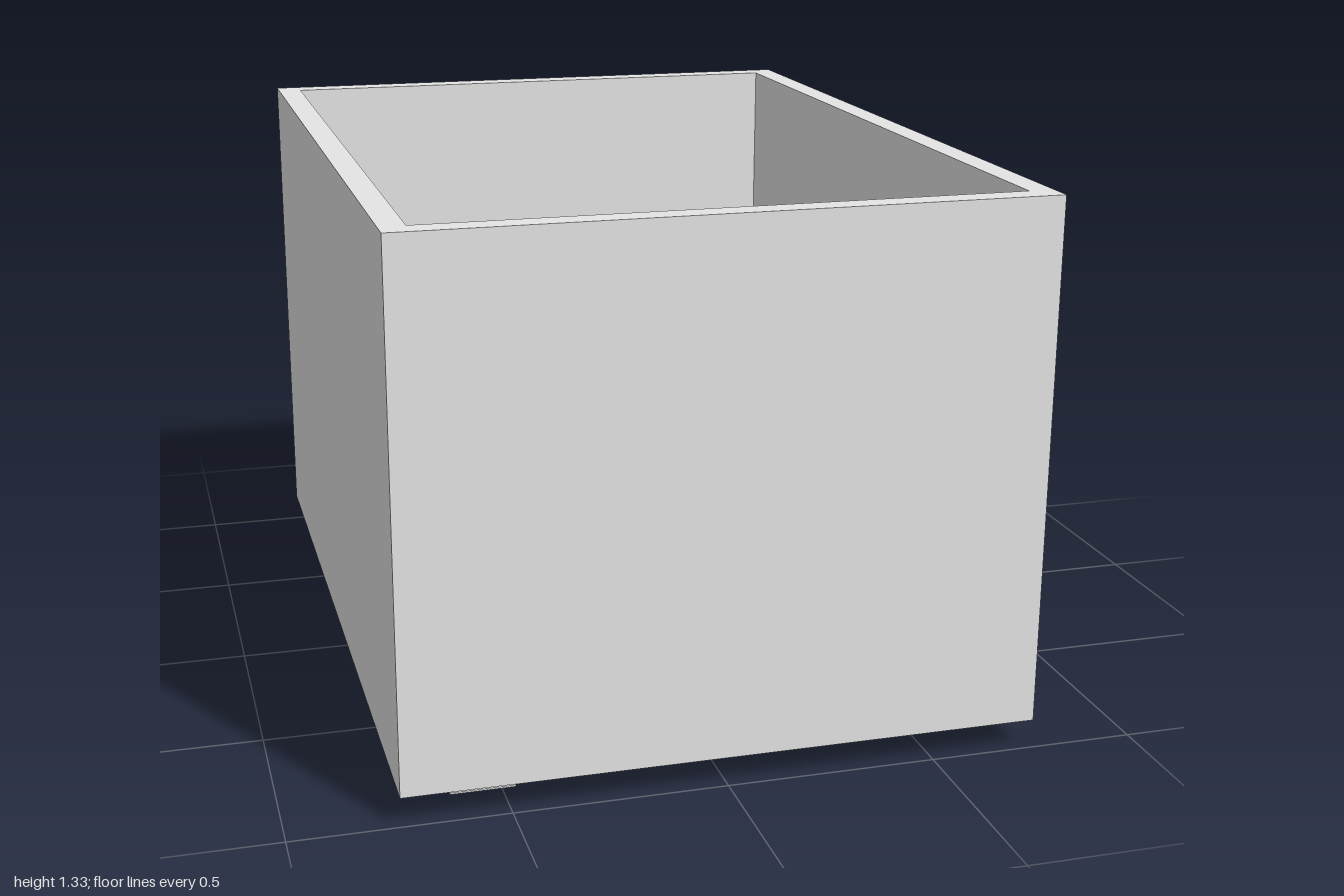
import * as THREE from 'three';

const FLOOR = 0.08, BASE = 0.07, TOP = 1.325;

export function createModel() {
  const model = new THREE.Group();
  const grey = new THREE.MeshStandardMaterial({ color: 0xe5e5e5 });
  grey.name = 'light grey';

  const add = (name, geometry, parent = model) => {
    const mesh = new THREE.Mesh(geometry, grey);
    mesh.name = name;
    parent.add(mesh);
    return mesh;
  };
  // Box given by its limits
  const box = (name, x0, x1, z0, z1, y0, y1) => {
    const m = add(name, new THREE.BoxGeometry(x1 - x0, y1 - y0, z1 - z0));
    m.position.set((x0 + x1) / 2, (y0 + y1) / 2, (z0 + z1) / 2);
    return m;
  };
  // Box standing at a height, given by its centre and size
  const block = (name, x, z, w, l, h, y = FLOOR) => box(name, x - w / 2, x + w / 2, z - l / 2, z + l / 2, y, y + h);
  const outline = (pts, Type) => new Type(pts.map(([x, z]) => new THREE.Vector2(x, -z)));
  // Corners run counter-clockwise seen from above, so holes are turned inwards
  const rect = (x0, x1, z0, z1) => [[x0, z1], [x1, z1], [x1, z0], [x0, z0]];
  // Horizontal slab with holes
  const slab = (name, pts, holes, y0, y1) => {
    const s = outline(pts, THREE.Shape);
    s.holes = holes.map((h) => outline([...h].reverse(), THREE.Path));
    const g = new THREE.ExtrudeGeometry(s, { depth: y1 - y0, bevelEnabled: false });
    g.rotateX(-Math.PI / 2);
    add(name, g).position.y = y0;
  };
  // Thin sloping plate from (zHigh, yHigh) down to (zLow, yLow)
  const ramp = (name, x0, x1, zHigh, yHigh, zLow, yLow) => {
    const dz = zLow - zHigh, dy = yLow - yHigh;
    const m = add(name, new THREE.BoxGeometry(x1 - x0, 0.004, Math.hypot(dz, dy)));
    m.position.set((x0 + x1) / 2, (yHigh + yLow) / 2, (zHigh + zLow) / 2);
    m.rotation.x = Math.atan(-dy / dz);
  };
  const flip = (s, z0, z1) => (s > 0 ? [z0, z1] : [-z1, -z0]);

  // Open-topped outer shell
  slab('outerWalls', rect(-0.75, 0.75, -1, 1), [rect(-0.69, 0.69, -0.94, 0.94)], BASE, TOP);

  // Floor with trench and stair openings
  const holes = [1, -1].flatMap((s) => [
    rect(-0.627, -0.484, ...flip(s, 0.06, 0.936)),
    rect(0.07, 0.115, ...flip(s, 0.06, 0.168)),
  ]);
  slab('floor', rect(-0.69, 0.69, -0.94, 0.94), holes, BASE, FLOOR);

  // Side trench, open at both ends
  box('trenchFloor', -0.63, -0.48, -0.94, 0.94, 0.032, 0.036);
  for (const x of [-0.63, -0.484]) box('trenchWall', x, x + 0.004, -0.94, 0.94, 0.032, BASE);

  // Sunken passage below the centre
  const half = [[-0.38, -0.07], [0.065, -0.07], [0.065, -0.17], [0.12, -0.17], [0.12, -0.065],
    [0.19, -0.065], [0.19, -0.03], [0.298, -0.03]];
  const passage = [...half, ...half.map(([x, z]) => [x, -z]).reverse()];
  slab('passageFloor', passage, [], 0, 0.004);
  passage.forEach(([x, z], i) => {
    const [x2, z2] = passage[(i + 1) % passage.length];
    const t = 0.002;
    box('passageWall', Math.min(x, x2) - t, Math.max(x, x2) + t,
      Math.min(z, z2) - t, Math.max(z, z2) + t, 0, BASE);
  });

  // Hollow block with parapet and optional roof opening
  const building = (name, x0, x1, z0, z1, h, opening) => {
    const t = 0.004;
    const inner = rect(x0 + t, x1 - t, z0 + t, z1 - t);
    slab(name + 'Walls', rect(x0, x1, z0, z1), [inner], FLOOR, FLOOR + h + 0.015);
    slab(name + 'Roof', inner, opening ? [rect(...opening)] : [], FLOOR + h - 0.008, FLOOR + h);
  };

  // Crate pairs (a tall and a short crate side by side): x, z, turn
  const upright = Math.PI / 2;
  const cratePairs = [[-0.29, 0.67, 0], [0.085, 0.643, 0.1], [0.2, 0.67, 0], [0.34, 0.668, 0.1],
    [-0.1, 0.446, upright], [-0.1, 0.33, upright], [0.015, 0.39, 0.35], [0.095, 0.226, upright]];
  // Single crates: x, z, width, length, height
  const crates = [[0.465, 0.715, 0.028, 0.06, 0.03], [-0.2, 0.215, 0.03, 0.026, 0.025],
    [-0.448, 0.697, 0.03, 0.014, 0.02], [0.46, 0.41, 0.044, 0.06, 0.05],
    [0.413, 0.535, 0.044, 0.06, 0.04], [0.413, 0.315, 0.044, 0.06, 0.04]];
  // Short posts: x, z
  const posts = [[-0.15, 0.165], [-0.46, 0.105], [-0.66, 0.51], [0.405, 0.385], [0.475, 0.515]];

  for (const s of [1, -1]) {
    const z = (a, b) => flip(s, a, b);
    // Stairs, and trench ramps with their landings
    ramp('passageRamp', 0.07, 0.115, 0.168 * s, FLOOR, 0.06 * s, 0.006);
    for (const [x0, x1, low, high, end] of [[-0.525, -0.484, 0.66, 0.72, 0.75], [-0.627, -0.588, 0.228, 0.286, 0.312]]) {
      ramp('trenchRamp', x0, x1, high * s, FLOOR - 0.002, low * s, 0.036);
      box('trenchLanding', x0, x1, ...z(high, end), BASE, FLOOR);
    }
    box('trenchCrate', -0.592, -0.535, ...z(0.325, 0.45), 0.036, 0.052);
    box('trenchCrateTop', -0.59, -0.562, ...z(0.365, 0.412), 0.052, 0.066);

    // End bases
    box('endBase', -0.42, 0.388, ...z(0.725, 0.94), FLOOR, 0.2);
    box('endBaseTop', -0.158, 0.156, ...z(0.75, 0.905), 0.2, 0.22);
    for (const [x, d] of [[-0.345, 0.892], [0.28, 0.904]]) block('endBasePost', x, d * s, 0.012, 0.008, 0.02, 0.2);

    // Blocks and the bridge between them
    building('innerBlock', -0.422, -0.175, ...z(0.255, 0.592), 0.12, [-0.332, -0.305, ...z(0.345, 0.415)]);
    ramp('innerBlockRamp', -0.332, -0.305, 0.415 * s, 0.2, 0.345 * s, 0.15);
    building('outerBlock', 0.173, 0.388, ...z(0.285, 0.592), 0.12, [0.333, 0.357, ...z(0.47, 0.542)]);
    ramp('outerBlockRamp', 0.333, 0.357, 0.542 * s, 0.2, 0.47 * s, 0.15);
    box('bridge', -0.176, 0.174, ...z(0.502, 0.548), 0.188, 0.2);

    // Side block against the wall, and crates on the roofs
    building('sideBlock', 0.485, 0.688, ...z(0.22, 0.622), 0.12);
    for (const [x, d] of [[-0.382, 0.46], [-0.227, 0.383], [0.21, 0.36], [0.666, 0.578]])
      block('roofCrate', x, d * s, 0.02, 0.02, 0.018, 0.2);

    // Round tree
    add('treeCrown', new THREE.SphereGeometry(0.055, 24, 16)).position.set(-0.478, 0.24, 0.18 * s);
    add('treeTrunk', new THREE.CylinderGeometry(0.006, 0.006, 0.12, 8)).position.set(-0.478, 0.14, 0.18 * s);

    // Long airship with tail fins
    const ship = new THREE.Group();
    ship.name = 'airship';
    ship.position.set(0.437, 0.3, 0.22 * s);
    ship.rotation.y = -0.27 * s;
    add('hull', new THREE.SphereGeometry(1, 28, 18), ship).scale.set(0.115, 0.036, 0.036);
    add('tailFin', new THREE.BoxGeometry(0.032, 0.006, 0.06), ship).position.set(0.1, 0, 0);
    add('tailFin', new THREE.BoxGeometry(0.032, 0.06, 0.006), ship).position.set(0.1, 0, 0);
    add('gondola', new THREE.BoxGeometry(0.05, 0.015, 0.02), ship).position.set(0, -0.04, 0);
    model.add(ship);

    // Loose cover on the floor
    for (const [x, d, turn] of cratePairs) {
      for (const [side, h] of [[-1, 0.025], [1, 0.018]]) {
        const reach = 0.0165 * side;
        const m = block('crate', x + reach * Math.cos(turn), (d - reach * Math.sin(turn)) * s, 0.032, 0.027, h);
        m.rotation.y = turn * s;
      }
    }
    for (const [x, d, w, l, h] of crates) block('crate', x, d * s, w, l, h);
    for (const [x, d] of posts) block('post', x, d * s, 0.01, 0.01, 0.035);

    // Fittings of the central deck
    box('deckBench', 0.2, 0.278, ...z(0.033, 0.06), 0.13, 0.145);
    for (const x of [0.178, 0.24, 0.32, 0.382]) block('deckPost', x, 0.074 * s, 0.008, 0.008, 0.02, 0.13);
  }

  // Central deck, side platform and low block
  box('centreDeck', 0.173, 0.388, -0.157, 0.157, FLOOR, 0.13);
  box('sidePlatform', 0.485, 0.69, -0.155, 0.155, FLOOR, 0.13);
  box('lowBlock', -0.405, -0.222, -0.092, 0.092, FLOOR, 0.12);

  // Central tower
  slab('towerBase', rect(-0.056, 0.056, -0.056, 0.056), [], FLOOR, 0.1);
  slab('towerWalls', rect(-0.04, 0.04, -0.04, 0.04), [rect(-0.034, 0.034, -0.034, 0.034)], 0.1, 0.25);
  slab('towerRoof', rect(-0.034, 0.034, -0.034, 0.034), [], 0.23, 0.24);
  add('roundPad', new THREE.CylinderGeometry(0.032, 0.032, 0.01, 24)).position.set(-0.095, FLOOR + 0.005, 0);

  // Crane
  box('craneMast', 0.314, 0.37, -0.038, 0.038, 0.13, 0.19);
  box('craneBoom', 0.062, 0.45, -0.004, 0.004, 0.19, 0.2);
  box('craneWeight', 0.42, 0.45, -0.014, 0.014, 0.18, 0.205);
  return model;
}
